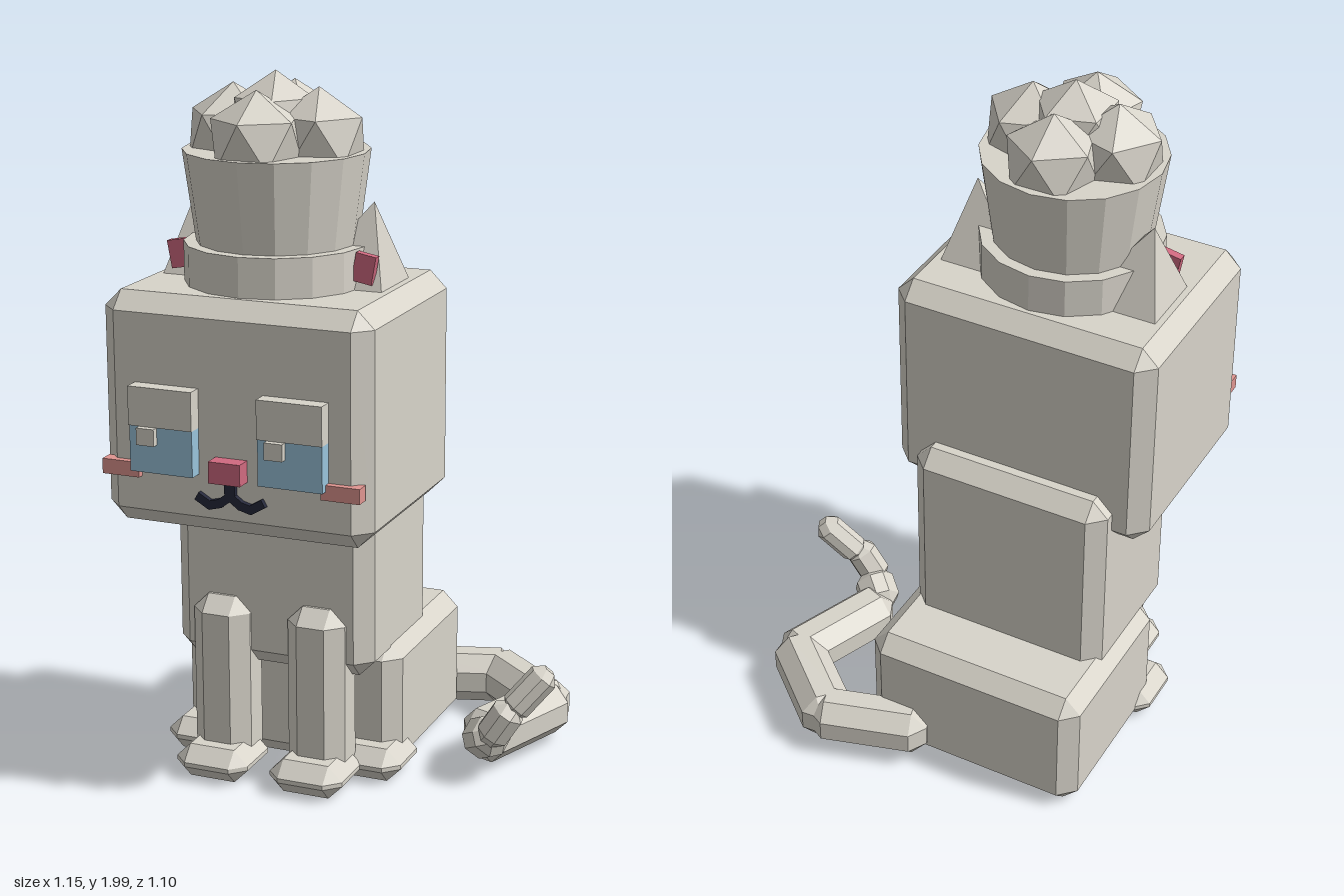
import * as THREE from 'three';
import { ConvexGeometry } from 'three/addons/geometries/ConvexGeometry.js';

const CX = -0.185; // symmetry plane of the seated body

function material(name, color) {
  const m = new THREE.MeshStandardMaterial({ color });
  m.name = name;
  return m;
}

// Box with every edge and corner cut flat
function chamferBox(w, h, d, c) {
  const pts = [];
  for (const sx of [-1, 1]) for (const sy of [-1, 1]) for (const sz of [-1, 1]) {
    for (const [a, b, e] of [[0, c, c], [c, 0, c], [c, c, 0]]) {
      pts.push(new THREE.Vector3(sx * (w / 2 - a), sy * (h / 2 - b), sz * (d / 2 - e)));
    }
  }
  return new ConvexGeometry(pts);
}

export function createModel() {
  const model = new THREE.Group();
  model.name = 'sittingCat';
  const fur = material('fur', 0xd8d4ca);
  const blue = material('eyeBlue', 0x9ac4dc);
  const pink = material('nosePink', 0xd06a80);
  const blush = material('blush', 0xdf9590);
  const dark = material('mouthDark', 0x25283a);
  fur.flatShading = true;

  function add(name, geometry, mat, x = 0, y = 0, z = 0) {
    const mesh = new THREE.Mesh(geometry, mat);
    mesh.name = name;
    mesh.position.set(x, y, z);
    model.add(mesh);
    return mesh;
  }
  // Blocks given by their limits on each axis
  function block(name, mat, x0, x1, y0, y1, z0, z1, c = 0) {
    const [w, h, d] = [x1 - x0, y1 - y0, z1 - z0];
    const g = c ? chamferBox(w, h, d, c) : new THREE.BoxGeometry(w, h, d);
    return add(name, g, mat, (x0 + x1) / 2, (y0 + y1) / 2, (z0 + z1) / 2);
  }

  // Main body
  block('head', fur, -0.573, 0.205, 0.79, 1.432, -0.132, 0.495, 0.048);
  block('torso', fur, -0.481, 0.113, 0.33, 0.94, -0.204, 0.262, 0.046);
  block('haunches', fur, -0.514, 0.149, 0.005, 0.392, -0.405, 0.14, 0.046);

  // Legs, feet, cheeks and ears, mirrored about the body centre
  for (const s of [-1, 1]) {
    const side = s > 0 ? 'left' : 'right';
    const legX = CX + s * 0.144;
    const hindX = CX + s * 0.262;
    block(side + 'FrontLeg', fur, legX - 0.086, legX + 0.086, 0.03, 0.532, 0.15, 0.315, 0.045);
    block(side + 'FrontFoot', fur, legX - 0.11, legX + 0.11, 0.005, 0.102, 0.17, 0.392, 0.042);
    block(side + 'HindFoot', fur, hindX - 0.1, hindX + 0.1, 0.005, 0.102, 0.01, 0.222, 0.042);

    const cheekX = CX + s * 0.32;
    block(side + 'Cheek', blush, cheekX - 0.055, cheekX + 0.055, 0.933, 0.975, 0.474, 0.515);

    // Ear: pyramid leaning outward
    const ear = [new THREE.Vector3(CX + s * 0.262, 1.655, 0.132)];
    for (const dx of [0.07, 0.325]) for (const z of [0.025, 0.237]) {
      ear.push(new THREE.Vector3(CX + s * dx, 1.42, z));
    }
    add(side + 'Ear', new ConvexGeometry(ear), fur);
    const inner = add(side + 'InnerEar', new THREE.BoxGeometry(0.058, 0.078, 0.024), pink,
      CX + s * 0.272, 1.492, 0.223);
    inner.rotation.z = -s * 0.18;

    // Eye: blue lower half under a heavy lid, with a small glint
    const eyeX = CX + s * 0.187;
    block(side + 'Eye', blue, eyeX - 0.092, eyeX + 0.092, 0.957, 1.09, 0.48, 0.536);
    block(side + 'Eyelid', fur, eyeX - 0.093, eyeX + 0.093, 1.085, 1.193, 0.48, 0.54);
  }
  for (const x of [-0.409, -0.037]) {
    block('eyeGlint', fur, x - 0.026, x + 0.026, 1.037, 1.084, 0.53, 0.555);
  }

  // Nose and mouth
  block('nose', pink, CX - 0.046, CX + 0.046, 0.95, 1.01, 0.48, 0.542);
  block('mouthStem', dark, CX - 0.015, CX + 0.015, 0.895, 0.952, 0.48, 0.51);
  const lip = [[0, 0.908], [0.03, 0.886], [0.06, 0.878], [0.094, 0.898]];
  for (const s of [-1, 1]) for (let i = 0; i < 3; i++) {
    const [ax, ay] = lip[i], [bx, by] = lip[i + 1];
    const length = Math.hypot(bx - ax, by - ay) + 0.008;
    const seg = add('mouthCurve', new THREE.BoxGeometry(length, 0.024, 0.03), dark,
      CX + s * (ax + bx) / 2, (ay + by) / 2, 0.495);
    seg.rotation.z = s * Math.atan2(by - ay, bx - ax);
  }

  // Hat: band, flared cup and puffy top
  const HZ = 0.182;
  add('hatBand', new THREE.CylinderGeometry(0.254, 0.254, 0.115, 16), fur, CX, 1.484, HZ);
  add('hatCup', new THREE.CylinderGeometry(0.254, 0.205, 0.36, 16), fur, CX, 1.61, HZ);
  const puff = (r, x, y, z, turn) => {
    const g = new THREE.IcosahedronGeometry(r, 0);
    g.rotateZ(-Math.atan(2 / (1 + Math.sqrt(5)))); // one vertex straight up
    add('hatPuff', g, fur, x, y, z).rotation.y = turn;
  };
  puff(0.127, CX, 1.872, HZ, 0);
  for (let i = 0; i < 4; i++) {
    const a = i * Math.PI / 2;
    puff(0.137, CX + Math.cos(a) * 0.125, 1.824, HZ - Math.sin(a) * 0.125, a);
  }

  // Tail: bevelled segments sweeping round the left side, curling up at the tip
  const path = [
    [0.0, 0.1, -0.4, 0.15], [0.25, 0.1, -0.475, 0.15], [0.458, 0.1, -0.295, 0.15],
    [0.355, 0.1, -0.02, 0.13], [0.435, 0.19, 0.075, 0.1], [0.535, 0.315, 0.025, 0.07],
  ].map(([x, y, z, w]) => ({ p: new THREE.Vector3(x, y, z), w }));
  for (let i = 0; i < 3; i++) {
    const a = path[i].p, b = path[i + 1].p;
    const seg = add('tailSegment', chamferBox(0.15, 0.15, a.distanceTo(b) + 0.09, 0.045), fur);
    seg.position.copy(a).add(b).multiplyScalar(0.5);
    seg.lookAt(b);
  }
  const curl = [
    [0.335, 0.095, 0.0, 0.43, 0.155, 0.08, 0.115],
    [0.40, 0.13, 0.085, 0.475, 0.25, 0.075, 0.092],
    [0.46, 0.22, 0.07, 0.56, 0.345, 0.02, 0.082],
  ];
  for (const [ax, ay, az, bx, by, bz, w] of curl) {
    const a = new THREE.Vector3(ax, ay, az), b = new THREE.Vector3(bx, by, bz);
    const seg = add('tailTip', chamferBox(w, w, a.distanceTo(b), w * 0.32), fur);
    seg.position.copy(a).add(b).multiplyScalar(0.5);
    seg.lookAt(b);
  }
  return model;
}
